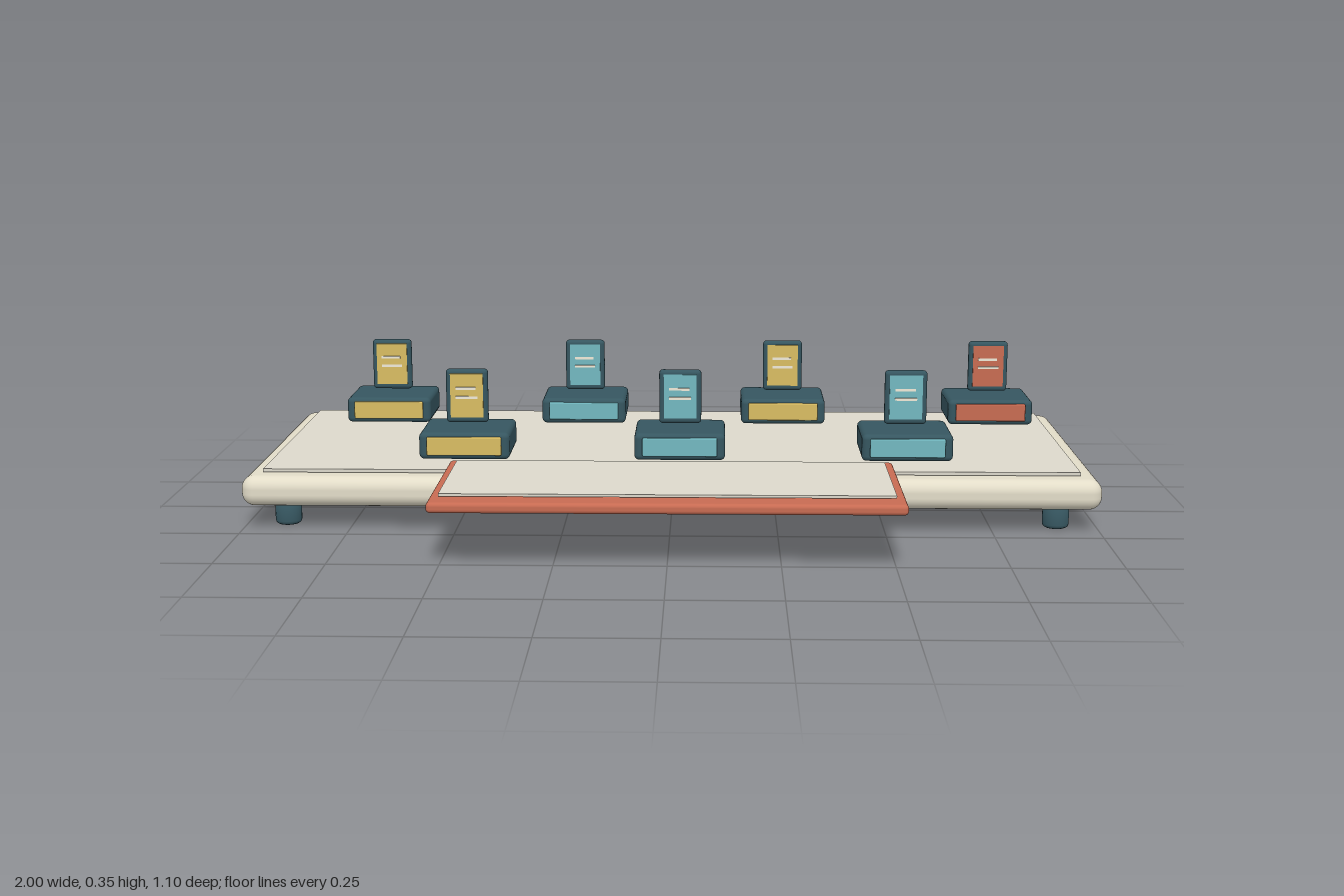
import * as THREE from 'three';
import { RoundedBoxGeometry } from 'three/addons/geometries/RoundedBoxGeometry.js';

const mat = (color) => new THREE.MeshStandardMaterial({ color });
const ivory = mat(0xe2dcc8), paper = mat(0xdcd8cb), dark = mat(0x365660), cream = mat(0xf0ead8);
const red = mat(0xc76b52), yellow = mat(0xd8bc62), teal = mat(0x72b8c0);

// Box given by its ranges on each axis; a radius rounds its edges.
function block(parent, name, material, [x0, x1], [y0, y1], [z0, z1], radius = 0) {
  const size = [x1 - x0, y1 - y0, z1 - z0];
  const geometry = radius
    ? new RoundedBoxGeometry(...size, 4, radius)
    : new THREE.BoxGeometry(...size);
  const mesh = new THREE.Mesh(geometry, material);
  mesh.name = name;
  mesh.position.set((x0 + x1) / 2, (y0 + y1) / 2, (z0 + z1) / 2);
  parent.add(mesh);
  return mesh;
}

// Base block with a front label and an upright card.
function createStand(color) {
  const stand = new THREE.Group();
  stand.name = 'displayStand';
  block(stand, 'standBase', dark, [-0.107, 0.107], [0.151, 0.215], [-0.089, 0.089], 0.012);
  block(stand, 'baseLabel', color, [-0.088, 0.088], [0.162, 0.206], [0.085, 0.095], 0.003);
  block(stand, 'card', dark, [-0.05, 0.05], [0.225, 0.354], [-0.006, 0.016], 0.009);
  block(stand, 'cardFace', color, [-0.039, 0.039], [0.238, 0.344], [0.014, 0.019]);
  block(stand, 'cardLine', cream, [-0.026, 0.022], [0.306, 0.312], [0.018, 0.022]);
  block(stand, 'cardLine', cream, [-0.026, 0.026], [0.284, 0.29], [0.018, 0.022]);
  return stand;
}

export function createModel() {
  const model = new THREE.Group();
  model.name = 'displayTable';

  // Table slab and its top sheet
  block(model, 'tableSlab', ivory, [-1, 1], [0.056, 0.128], [-0.548, 0.228], 0.03);
  block(model, 'tableSheet', paper, [-0.953, 0.953], [0.131, 0.139], [-0.503, 0.182]);

  // Feet with softened rims
  const profile = [[0, 0], [0.024, 0], [0.029, 0.003], [0.031, 0.009], [0.031, 0.06], [0, 0.06]]
    .map(([x, y]) => new THREE.Vector2(x, y));
  const footGeometry = new THREE.LatheGeometry(profile, 24);
  for (const x of [-0.905, 0.905]) {
    for (const z of [-0.465, 0.145]) {
      const foot = new THREE.Mesh(footGeometry, dark);
      foot.name = 'foot';
      foot.position.set(x, 0, z);
      model.add(foot);
    }
  }

  // Pull-out tray on two rails
  block(model, 'tray', red, [-0.52, 0.52], [0.128, 0.152], [0.137, 0.548], 0.009);
  block(model, 'traySheet', paper, [-0.498, 0.498], [0.155, 0.161], [0.178, 0.5]);
  for (const x of [-0.46, 0.46]) {
    block(model, 'trayRail', dark, [x - 0.008, x + 0.008], [0.113, 0.138], [0.065, 0.254], 0.004);
  }

  // Stands: x, z, accent
  const backZ = -0.376, frontZ = 0.043;
  const stands = [
    [-0.733, backZ, yellow], [-0.232, backZ, teal], [0.278, backZ, yellow], [0.807, backZ, red],
    [-0.487, frontZ, yellow], [0.021, frontZ, teal], [0.556, frontZ, teal],
  ];
  for (const [x, z, color] of stands) {
    const stand = createStand(color);
    stand.position.set(x, 0, z);
    model.add(stand);
  }
  return model;
}
